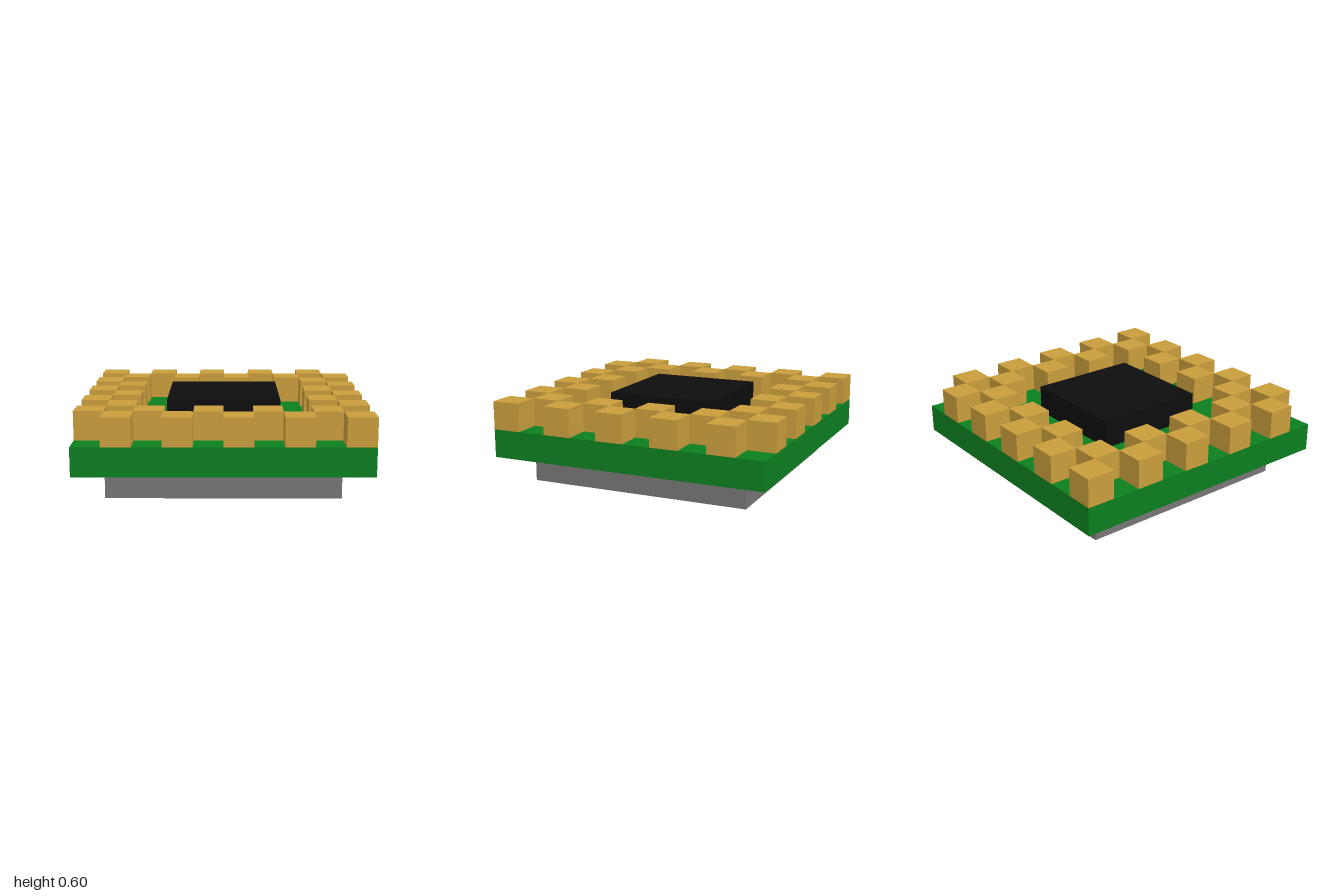
import * as THREE from 'three';

const CELL = 0.2;

function material(name, color) {
  const m = new THREE.MeshStandardMaterial({ color });
  m.name = name;
  return m;
}

function block(name, width, height, bottom, mat, x = 0, z = 0) {
  const mesh = new THREE.Mesh(new THREE.BoxGeometry(width, height, width), mat);
  mesh.name = name;
  mesh.position.set(x, bottom + height / 2, z);
  return mesh;
}

export function createModel() {
  const gold = material('gold', 0xc99d3c);
  const green = material('board green', 0x0c7f20);
  const grey = material('base grey', 0x777576);
  const black = material('chip black', 0x0d0d0d);

  const model = new THREE.Group();
  model.name = 'processor';

  // Stacked base, circuit board and central chip
  model.add(block('base', 1.6, 0.2, 0, grey));
  model.add(block('circuitBoard', 2, 0.2, 0.2, green));
  model.add(block('chip', 0.8, 0.2, 0.4, black));

  // Gold contacts: a checkerboard over the two outer rings of a 10 x 10 grid
  const contacts = new THREE.Group();
  contacts.name = 'contacts';
  const isOuter = (i) => i < 2 || i > 7;
  for (let row = 0; row < 10; row++) {
    for (let col = 0; col < 10; col++) {
      if ((row + col) % 2 || !(isOuter(row) || isOuter(col))) continue;
      contacts.add(block('contact', CELL, CELL, 0.4, gold, (col - 4.5) * CELL, (row - 4.5) * CELL));
    }
  }
  model.add(contacts);
  return model;
}
